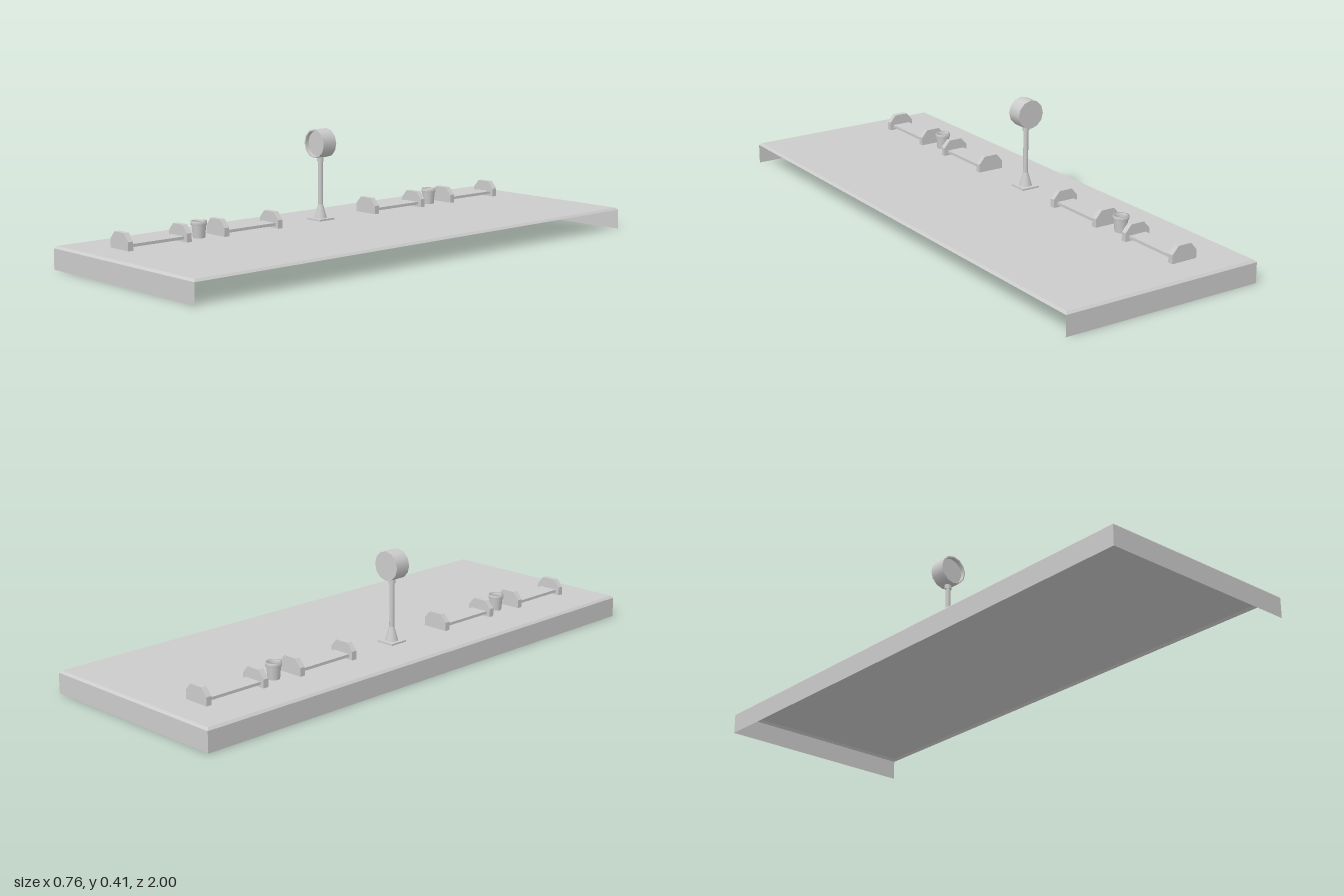
import * as THREE from 'three';

const grey = new THREE.MeshStandardMaterial({ color: 0xcccccc, side: THREE.DoubleSide });
const LINE_X = -0.18; // furniture stands along this line
const TOP = 0.08; // deck height

function add(parent, name, geometry, x = 0, y = 0, z = 0) {
  const mesh = new THREE.Mesh(geometry, grey);
  mesh.name = name;
  mesh.position.set(x, y, z);
  parent.add(mesh);
  return mesh;
}

// Flat-shaded open surface from four-cornered faces
function quads(faces) {
  const pos = faces.flatMap(([a, b, c, d]) => [a, b, c, a, c, d].flat());
  const g = new THREE.BufferGeometry();
  g.setAttribute('position', new THREE.Float32BufferAttribute(pos, 3));
  g.computeVertexNormals();
  return g;
}

// Hollow deck: chamfered top, walls on three sides, open along +x
function platform() {
  const ring = (w, d, y) => [[w, y, d], [w, y, -d], [-w, y, -d], [-w, y, d]];
  const top = ring(0.372, 0.992, TOP), edge = ring(0.38, 1, 0.072), foot = ring(0.38, 1, 0);
  const faces = [top];
  for (let i = 0; i < 4; i++) {
    const j = (i + 1) % 4;
    faces.push([edge[i], edge[j], top[j], top[i]]);
    if (i > 0) faces.push([foot[i], foot[j], edge[j], edge[i]]);
  }
  return quads(faces);
}

// Bench along z: two chamfered end panels and a thin seat
function bench(z) {
  const g = new THREE.Group();
  g.name = 'bench';
  g.position.set(LINE_X, TOP, z);
  const outline = [[-0.05, 0], [0.05, 0], [0.05, 0.03], [0.026, 0.057], [-0.026, 0.057], [-0.05, 0.03]];
  const shape = new THREE.Shape(outline.map(([x, y]) => new THREE.Vector2(x, y)));
  const panel = new THREE.ExtrudeGeometry(shape, { depth: 0.02, bevelEnabled: false });
  panel.translate(0, 0, -0.01);
  for (const s of [-1, 1]) add(g, 'benchEnd', panel, 0, 0, s * 0.119);
  add(g, 'benchSeat', new THREE.BoxGeometry(0.07, 0.01, 0.22), 0, 0.014, 0);
  return g;
}

const lathe = (points, sides) =>
  new THREE.LatheGeometry(points.map(([r, y]) => new THREE.Vector2(r, y)), sides);

// Tapered open bin with a rim
function bin(z) {
  const g = new THREE.Group();
  g.name = 'litterBin';
  g.position.set(LINE_X, TOP, z);
  add(g, 'binBody', lathe([[0.021, 0], [0.025, 0.045]], 12));
  add(g, 'binRim', lathe([[0.025, 0.045], [0.028, 0.045], [0.028, 0.058], [0.022, 0.058], [0.022, 0.045]], 12));
  add(g, 'binInside', lathe([[0.022, 0.045], [0.018, 0.008], [0, 0.008]], 12));
  return g;
}

// Arrow-shaped flat clock hand pointing along +y
function hand(length) {
  const s = new THREE.Shape();
  const w = 0.001, h = 0.008;
  [[-w, 0.008], [w, 0.008], [w, length - 0.003], [h, length - 0.009], [h, length - 0.007], [0, length],
    [-h, length - 0.007], [-h, length - 0.009], [-w, length - 0.003]]
    .forEach(([x, y], i) => (i ? s.lineTo(x, y) : s.moveTo(x, y)));
  return new THREE.ShapeGeometry(s);
}

function clock() {
  const g = new THREE.Group();
  g.name = 'platformClock';
  g.position.x = LINE_X;
  add(g, 'clockBase', new THREE.BoxGeometry(0.07, 0.006, 0.07), 0, TOP + 0.003, 0);
  add(g, 'clockFoot', lathe([[0.023, 0.086], [0.019, 0.1], [0.012, 0.125], [0.009, 0.135]], 12));
  add(g, 'clockPole', new THREE.CylinderGeometry(0.009, 0.009, 0.165, 12), 0, 0.2125, 0);
  add(g, 'clockCollar', new THREE.CylinderGeometry(0.012, 0.012, 0.018, 12), 0, 0.301, 0);

  // Twelve-sided head with a recessed dial facing the front
  const head = new THREE.Group();
  head.name = 'clockHead';
  head.position.y = 0.357;
  g.add(head);
  const profiles = {
    clockCase: [[0.052, -0.03], [0.052, 0.03]],
    clockRim: [[0.052, 0.03], [0.047, 0.03]],
    clockInnerWall: [[0.047, 0.03], [0.047, 0.015]],
  };
  for (const [name, points] of Object.entries(profiles)) add(head, name, lathe(points, 12).rotateX(Math.PI / 2));
  add(head, 'clockBack', new THREE.CircleGeometry(0.052, 12).rotateY(Math.PI), 0, 0, -0.03);
  add(head, 'clockDial', new THREE.CircleGeometry(0.047, 12), 0, 0, 0.015);
  add(head, 'clockHub', new THREE.CircleGeometry(0.008, 8), 0, 0, 0.017);
  add(head, 'minuteHand', hand(0.031), 0, 0, 0.017);
  add(head, 'hourHand', hand(0.027), 0, 0, 0.017).rotation.z = -1.87;
  return g;
}

export function createModel() {
  const model = new THREE.Group();
  model.name = 'stationPlatform';
  add(model, 'platformDeck', platform());
  model.add(clock());
  for (const s of [-1, 1]) model.add(bench(s * 0.351), bench(s * 0.749), bin(s * 0.551));
  return model;
}
